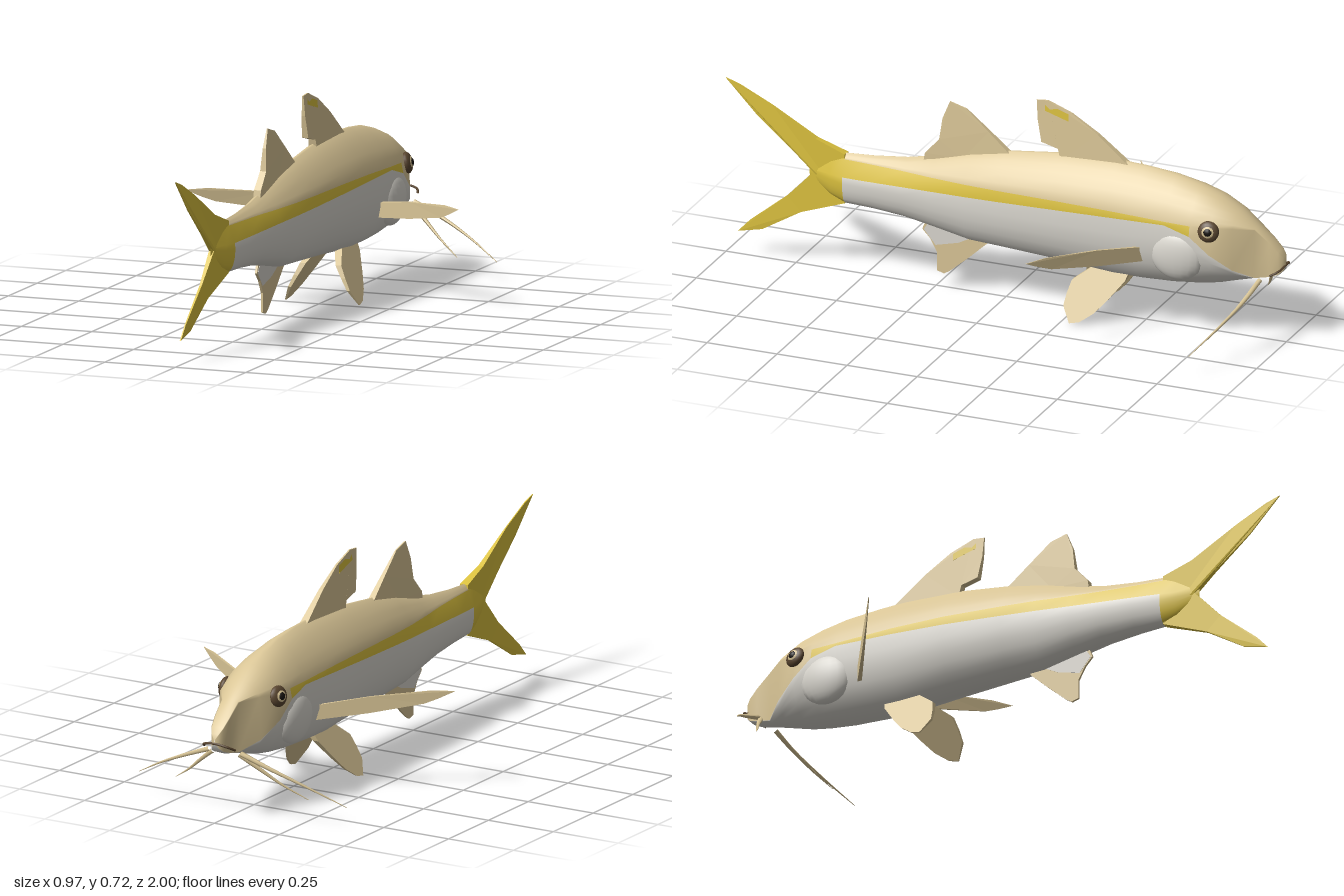
import * as THREE from 'three';

const mat = (name, color) => {
  const m = new THREE.MeshStandardMaterial({ color });
  m.name = name;
  return m;
};

// piecewise linear lookup in [[key, value], ...]
function lerpTable(table, k) {
  if (k <= table[0][0]) return table[0][1];
  for (let i = 1; i < table.length; i++) {
    const [a, va] = table[i - 1], [b, vb] = table[i];
    if (k <= b) return va + (vb - va) * (k - a) / (b - a);
  }
  return table[table.length - 1][1];
}

// body stations: z, bottom, top, half width
const STATIONS = [
  [-1, 0.275, 0.285, 0.004], [-0.995, 0.255, 0.305, 0.036], [-0.98, 0.24, 0.325, 0.06],
  [-0.95, 0.228, 0.355, 0.075], [-0.9, 0.216, 0.4, 0.086], [-0.84, 0.2, 0.45, 0.098],
  [-0.77, 0.18, 0.49, 0.113], [-0.7, 0.168, 0.515, 0.118], [-0.61, 0.158, 0.537, 0.117],
  [-0.5, 0.153, 0.549, 0.116], [-0.4, 0.153, 0.553, 0.116], [-0.21, 0.168, 0.546, 0.11],
  [0, 0.18, 0.52, 0.096], [0.12, 0.186, 0.497, 0.086], [0.25, 0.212, 0.462, 0.072],
  [0.35, 0.23, 0.44, 0.062], [0.47, 0.24, 0.426, 0.05], [0.57, 0.243, 0.42, 0.038],
  [0.62, 0.262, 0.41, 0.026], [0.7, 0.315, 0.365, 0.003],
];
// half width against height, with a steep ridge along the back
const SECTION = [[0, 0], [0.02, 0.32], [0.06, 0.55], [0.14, 0.78], [0.3, 0.97], [0.45, 1],
  [0.62, 0.97], [0.74, 0.84], [0.88, 0.5], [0.96, 0.22], [1, 0]];
// colour borders along the flank
const BELLY_EDGE = [[-0.95, 0.2], [-0.9, 0.22], [-0.8, 0.285], [-0.72, 0.355], [-0.66, 0.395],
  [-0.3, 0.387], [0.25, 0.36], [0.57, 0.345]];
const STRIPE_EDGE = [[-0.68, 0.403], [-0.3, 0.415], [0.25, 0.404], [0.57, 0.402]];

function bodyGeometry() {
  const N = 7, half = 2 * N + 1, ring = half * 2;
  const pos = [], lists = [[], [], []];
  for (const [z, yb, yt, w] of STATIONS) {
    const h = yt - yb;
    const tl = THREE.MathUtils.clamp((lerpTable(BELLY_EDGE, z) - yb) / h, 0.04, 0.9);
    const th = THREE.MathUtils.clamp((lerpTable(STRIPE_EDGE, z) - yb) / h, tl + 0.02, 0.96);
    const blend = THREE.MathUtils.smoothstep(z, -0.9, -0.45);
    const ts = [];
    for (let i = 0; i <= N; i++) ts.push(tl * (1 - Math.cos(i / N * Math.PI / 2)));
    for (let i = 0; i <= N; i++) ts.push(th + (1 - th) * Math.sin(i / N * Math.PI / 2));
    const pts = ts.map(t => {
      const round = Math.sqrt(Math.max(0, 1 - (2 * t - 1) ** 2));
      return [w * THREE.MathUtils.lerp(round, lerpTable(SECTION, t), blend), yb + h * t];
    });
    for (let i = 0; i < ring; i++) {
      const [x, y] = pts[i <= half ? i : ring - i];
      pos.push(i <= half ? x : -x, y, z);
    }
  }
  for (let j = 0; j < STATIONS.length - 1; j++) {
    const z = STATIONS[j][0];
    for (let i = 0; i < ring; i++) {
      const k = i < half ? i : ring - 1 - i;
      let band = k < N ? 1 : k > N ? 0 : 2;
      if (band === 2 && z < -0.7) band = 0;
      if (z > 0.55) band = 2;
      const n = (i + 1) % ring, a = j * ring;
      lists[band].push(a + i, a + n, a + ring + i, a + n, a + ring + n, a + ring + i);
    }
  }
  const g = new THREE.BufferGeometry();
  g.setAttribute('position', new THREE.Float32BufferAttribute(pos, 3));
  g.setIndex(lists.flat());
  let start = 0;
  lists.forEach((l, m) => { g.addGroup(start, l.length, m); start += l.length; });
  g.computeVertexNormals();
  return g;
}

// blade outlined in [u, v]; thickness(u, v) across, place(u, v, offset) -> [x, y, z]
function blade(outline, thickness, place) {
  const shape = new THREE.Shape(outline.map(p => new THREE.Vector2(...p)));
  const g = new THREE.ExtrudeGeometry(shape, { depth: 1, bevelEnabled: false });
  const p = g.attributes.position;
  for (let i = 0; i < p.count; i++) {
    const u = p.getX(i), v = p.getY(i);
    p.setXYZ(i, ...place(u, v, (p.getZ(i) - 0.5) * thickness(u, v)));
  }
  g.computeVertexNormals();
  return g;
}
const upright = (z, y, o) => [-o, y, z];

// tapering whisker along a curve
function whisker(points, radius) {
  const curve = new THREE.CatmullRomCurve3(points.map(p => new THREE.Vector3(...p)));
  const segs = 14, sides = 6;
  const g = new THREE.TubeGeometry(curve, segs, radius, sides);
  const p = g.attributes.position, v = new THREE.Vector3();
  for (let i = 0; i < p.count; i++) {
    const t = Math.floor(i / (sides + 1)) / segs, c = curve.getPointAt(t);
    v.fromBufferAttribute(p, i).sub(c).multiplyScalar(1 - 0.9 * t).add(c);
    p.setXYZ(i, v.x, v.y, v.z);
  }
  g.computeVertexNormals();
  return g;
}

export function createModel() {
  const tan = mat('sand', 0xd9c596), white = mat('belly white', 0xd9d6ce);
  const yellow = mat('yellow', 0xdac03e), brown = mat('dark brown', 0x5a4630);
  const black = mat('pupil black', 0x17130f);
  const model = new THREE.Group();
  const add = (parent, name, geometry, material) => {
    const m = new THREE.Mesh(geometry, material);
    m.name = name;
    parent.add(m);
    return m;
  };

  add(model, 'body', bodyGeometry(), [tan, white, yellow]);

  // fins on the midline
  add(model, 'tailFin', blade([[0.57, 0.418], [0.675, 0.455], [0.835, 0.548], [0.95, 0.602], [1, 0.618],
    [0.89, 0.505], [0.755, 0.395], [0.685, 0.335], [0.78, 0.235], [0.915, 0.125], [0.957, 0.08],
    [0.87, 0.1], [0.73, 0.185], [0.57, 0.245]],
  z => THREE.MathUtils.lerp(0.03, 0.004, Math.min(1, (z - 0.57) / 0.25)), upright), yellow);
  add(model, 'frontDorsalFin', blade([[-0.46, 0.53], [-0.43, 0.55], [-0.33, 0.63], [-0.235, 0.69],
    [-0.15, 0.722], [-0.11, 0.718], [-0.115, 0.65], [-0.13, 0.575], [-0.19, 0.56], [-0.2, 0.52]],
  (z, y) => THREE.MathUtils.clamp((0.74 - y) * 0.14, 0.005, 0.03), upright), tan);
  add(model, 'dorsalPatch', blade([[-0.225, 0.685], [-0.14, 0.712], [-0.14, 0.685], [-0.225, 0.66]],
    (z, y) => (0.75 - y) * 0.15, upright), yellow);
  add(model, 'rearDorsalFin', blade([[-0.02, 0.51], [0, 0.527], [0.06, 0.578], [0.14, 0.645],
    [0.2, 0.662], [0.225, 0.6], [0.235, 0.525], [0.285, 0.47], [0.29, 0.44], [0.15, 0.47]],
  (z, y) => THREE.MathUtils.clamp((0.68 - y) * 0.14, 0.004, 0.025), upright), tan);
  add(model, 'analFin', blade([[0.065, 0.2], [0.065, 0.18], [0.13, 0.12], [0.2, 0.06], [0.22, 0.048],
    [0.245, 0.055], [0.245, 0.12], [0.27, 0.165], [0.298, 0.195], [0.28, 0.24]], () => 0.008, upright), tan);
  add(model, 'analPatch', blade([[0.12, 0.19], [0.17, 0.165], [0.25, 0.145], [0.292, 0.195], [0.27, 0.23]],
    () => 0.0098, upright), white);

  // slit across the snout
  const slit = new THREE.CatmullRomCurve3([[-0.06, 0.25, -0.965], [-0.045, 0.264, -0.99],
    [0, 0.272, -0.998], [0.045, 0.264, -0.99], [0.06, 0.25, -0.965]].map(p => new THREE.Vector3(...p)));
  add(model, 'mouth', new THREE.TubeGeometry(slit, 16, 0.004, 6), brown);

  // paired parts
  for (const side of [1, -1]) {
    const half = new THREE.Group();
    half.name = side > 0 ? 'leftParts' : 'rightParts';
    half.scale.x = side;
    model.add(half);

    add(half, 'pectoralFin', blade([[0.1, 0.25], [0.25, 0.272], [0.4, 0.302], [0.44, 0.32],
      [0.485, 0.344], [0.42, 0.347], [0.25, 0.328], [0.1, 0.3]],
    x => Math.max(0.003, 0.022 * (1 - x / 0.48)),
    (x, y, o) => [x, y, -0.515 + (x - 0.115) * 0.65 + o]), tan);

    add(half, 'pelvicFin', blade([[-0.46, 0.18], [-0.45, 0.15], [-0.4, 0.085], [-0.36, 0.04],
      [-0.315, 0.008], [-0.28, 0], [-0.25, 0.05], [-0.255, 0.09], [-0.265, 0.13], [-0.33, 0.18]],
    (z, y) => 0.005 + 0.12 * y,
    (z, y, o) => [0.042 + (0.17 - y) * 0.52 - o, y, z]), tan);

    add(half, 'outerBarbel', whisker([[0.06, 0.23, -0.93], [0.16, 0.19, -0.915],
      [0.28, 0.135, -0.875], [0.4, 0.07, -0.82]], 0.009), tan);
    add(half, 'innerBarbel', whisker([[0.05, 0.225, -0.925], [0.11, 0.18, -0.9],
      [0.18, 0.125, -0.865], [0.257, 0.075, -0.825]], 0.009), tan);

    const gill = add(half, 'gillCover', new THREE.SphereGeometry(1, 20, 14), white);
    gill.scale.set(0.038, 0.088, 0.095);
    gill.position.set(0.094, 0.29, -0.65);

    // eye as stacked shallow domes
    const eye = new THREE.Group();
    eye.name = 'eye';
    eye.position.set(0.103, 0.392, -0.765);
    eye.rotation.set(0, 0.2, 0.2);
    half.add(eye);
    [['eyeRim', 0.036, 0.018, brown], ['iris', 0.029, 0.0205, tan], ['pupil', 0.021, 0.0235, black]]
      .forEach(([name, r, bulge, m]) => {
        add(eye, name, new THREE.SphereGeometry(1, 18, 12), m).scale.set(bulge, r, r);
      });
  }
  return model;
}
